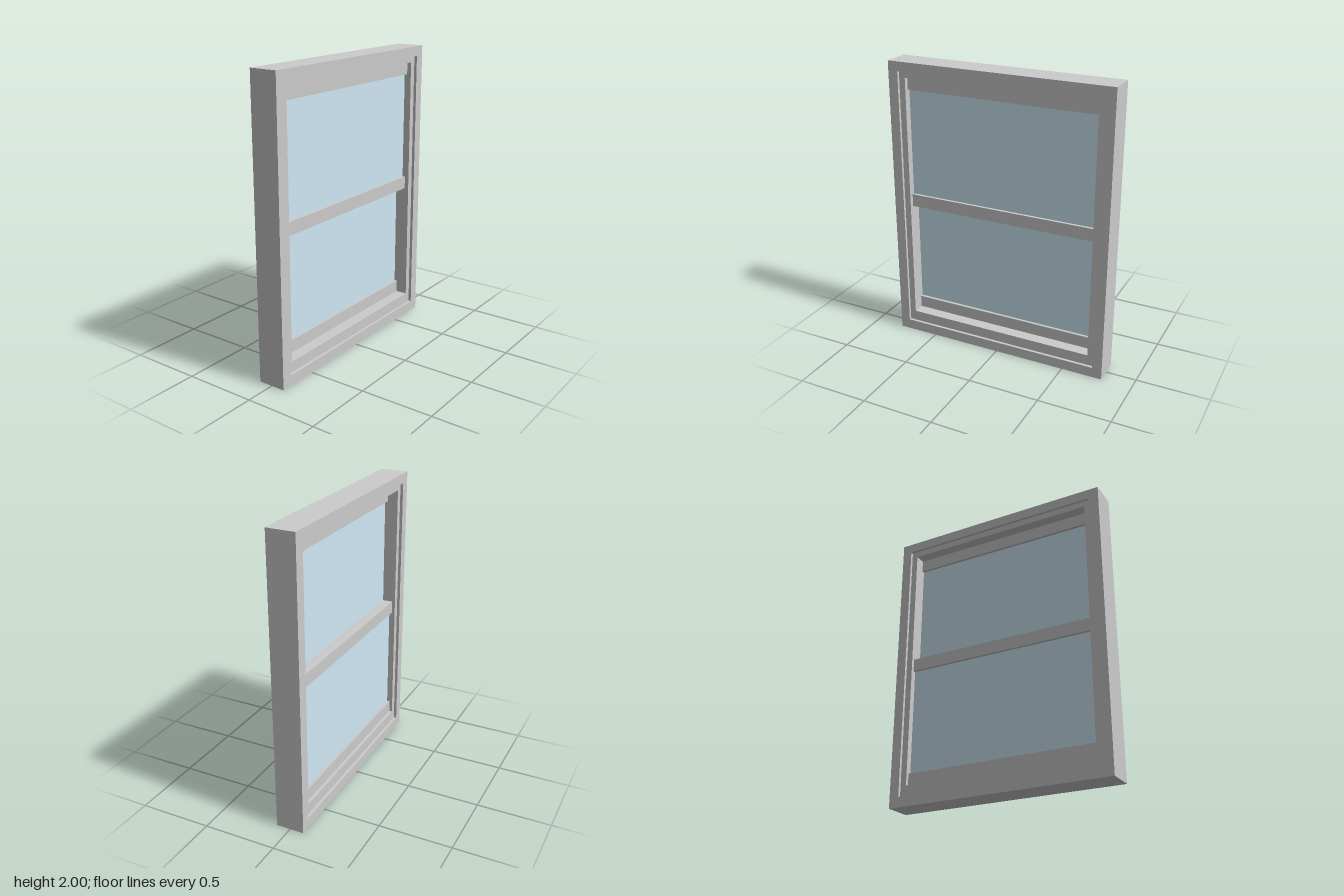
import * as THREE from 'three';

const grey = new THREE.MeshStandardMaterial({ color: 0xcccccc });
const glassBlue = new THREE.MeshStandardMaterial({ color: 0xcfe8f5 });

// Rectangles are { w: half width, y0, y1 }
const OUTER = { w: 0.787, y0: 0, y1: 2 };
const REVEAL = { w: 0.718, y0: 0.072, y1: 1.933 };
const OPENING = { w: 0.675, y0: 0.146, y1: 1.891 };
const MEETING = { y0: 0.973, y1: 1.061 };
const RAIL = 0.085;

function trace(path, { w, y0, y1 }) {
  path.moveTo(-w, y0);
  path.lineTo(w, y0);
  path.lineTo(w, y1);
  path.lineTo(-w, y1);
  path.closePath();
  return path;
}

// Rectangular ring between two outlines, from z0 to z1
function ring(name, outer, inner, z0, z1) {
  const shape = trace(new THREE.Shape(), outer);
  shape.holes.push(trace(new THREE.Path(), inner));
  const geometry = new THREE.ExtrudeGeometry(shape, { depth: z1 - z0, bevelEnabled: false });
  geometry.translate(0, 0, z0);
  const mesh = new THREE.Mesh(geometry, grey);
  mesh.name = name;
  return mesh;
}

// Full-width bar across the opening
function bar(name, y0, y1, z0, z1, material = grey) {
  const mesh = new THREE.Mesh(new THREE.BoxGeometry(OPENING.w * 2, y1 - y0, z1 - z0), material);
  mesh.position.set(0, (y0 + y1) / 2, (z0 + z1) / 2);
  mesh.name = name;
  return mesh;
}

// Sash: two rails with a glass pane midway through their depth
function sash(name, bottom, top, z0, z1) {
  const group = new THREE.Group();
  group.name = name;
  const mid = (z0 + z1) / 2;
  group.add(
    bar('bottomRail', bottom.y0, bottom.y1, z0, z1),
    bar('topRail', top.y0, top.y1, z0, z1),
    bar('glassPane', bottom.y1, top.y0, mid - 0.005, mid + 0.005, glassBlue),
  );
  return group;
}

export function createModel() {
  const model = new THREE.Group();
  model.name = 'sashWindow';

  // Stepped frame
  model.add(
    ring('outerFrame', OUTER, REVEAL, -0.097, 0.097),
    ring('innerFrame', REVEAL, OPENING, -0.077, 0.077),
  );

  // Upper sash sits in front of the lower one; they overlap at the meeting rails
  const head = { y0: OPENING.y1 - RAIL, y1: OPENING.y1 };
  const sill = { y0: OPENING.y0, y1: OPENING.y0 + RAIL };
  model.add(
    sash('upperSash', MEETING, head, -0.003, 0.047),
    sash('lowerSash', sill, MEETING, -0.055, -0.005),
  );

  return model;
}
